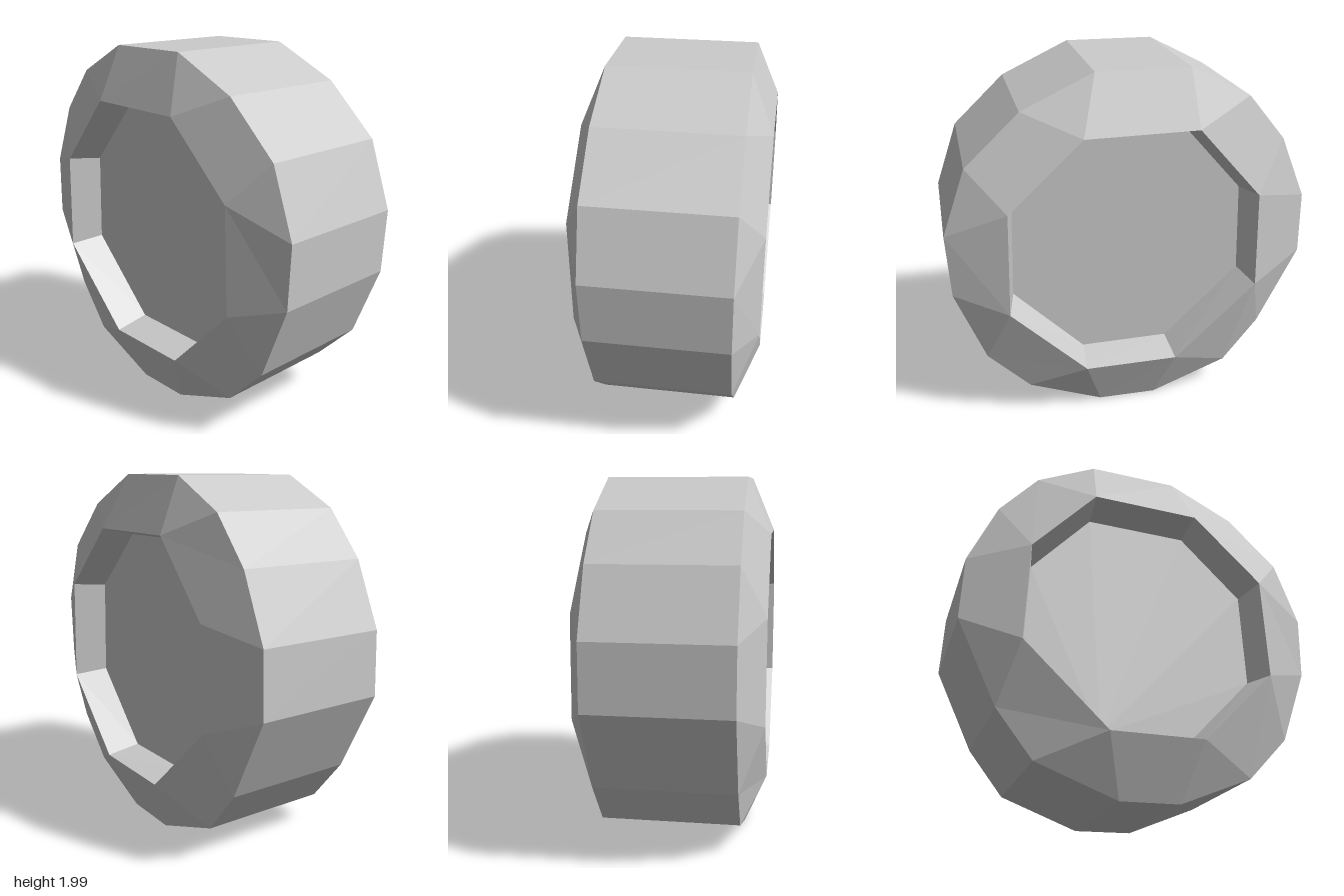
import * as THREE from 'three';

// Cross-sections as [x, y], counter-clockwise from the bottom, seen from +z
const TREAD = [
  [-0.14, 0], [0.19, 0.01], [0.6, 0.18], [0.83, 0.42], [0.985, 0.83], [1, 1.18], [0.87, 1.54], [0.58, 1.81],
  [0.2, 1.985], [-0.3, 1.98], [-0.63, 1.81], [-0.84, 1.56], [-0.99, 1.21], [-1, 0.86], [-0.78, 0.41], [-0.58, 0.16],
];
const RIM = [
  [-0.23, 0.315], [0.29, 0.325], [0.7, 0.74], [0.68, 1.32],
  [0.285, 1.685], [-0.32, 1.685], [-0.67, 1.29], [-0.69, 0.74],
];
const HUB = [
  [-0.22, 0.355], [0.275, 0.36], [0.66, 0.76], [0.64, 1.305],
  [0.28, 1.645], [-0.3, 1.645], [-0.63, 1.27], [-0.65, 0.76],
];
const TREAD_Z = 0.375, RIM_Z = 0.5, HUB_Z = 0.31;

const at = (ring, i, z) => [...ring[i % ring.length], z];

// Collects convex polygons as triangle fans; flip reverses the winding
function addFace(out, corners, flip = false) {
  const c = flip ? [...corners].reverse() : corners;
  for (let i = 1; i < c.length - 1; i++) out.push(...c[0], ...c[i], ...c[i + 1]);
}

function makeMesh(name, positions) {
  const geometry = new THREE.BufferGeometry();
  geometry.setAttribute('position', new THREE.Float32BufferAttribute(positions, 3));
  geometry.computeVertexNormals();
  const mesh = new THREE.Mesh(geometry, new THREE.MeshStandardMaterial({ color: 0xcccccc, flatShading: true }));
  mesh.name = name;
  return mesh;
}

export function createModel() {
  const wheel = new THREE.Group();
  wheel.name = 'wheel';

  // Tread band around the wheel
  const tread = [];
  for (let i = 0; i < TREAD.length; i++) {
    addFace(tread, [
      at(TREAD, i, TREAD_Z), at(TREAD, i, -TREAD_Z),
      at(TREAD, i + 1, -TREAD_Z), at(TREAD, i + 1, TREAD_Z),
    ]);
  }
  wheel.add(makeMesh('tread', tread));

  for (const side of [1, -1]) {
    const flip = side < 0;
    const prefix = flip ? 'back' : 'front';
    const tz = side * TREAD_Z, rz = side * RIM_Z, hz = side * HUB_Z;
    const sidewall = [], lip = [];

    for (let k = 0; k < RIM.length; k++) {
      // Sloped sidewall: one quad per rim edge, one triangle per rim corner
      addFace(sidewall, [at(TREAD, 2 * k, tz), at(TREAD, 2 * k + 1, tz), at(RIM, k + 1, rz), at(RIM, k, rz)], flip);
      addFace(sidewall, [at(TREAD, 2 * k + 1, tz), at(TREAD, 2 * k + 2, tz), at(RIM, k + 1, rz)], flip);
      // Recess wall from the rim down to the hub
      addFace(lip, [at(RIM, k, rz), at(RIM, k + 1, rz), at(HUB, k + 1, hz), at(HUB, k, hz)], flip);
    }

    // Flat hub at the bottom of the recess
    const hub = [];
    addFace(hub, HUB.map((p) => [...p, hz]), flip);

    wheel.add(
      makeMesh(prefix + 'Sidewall', sidewall),
      makeMesh(prefix + 'RimLip', lip),
      makeMesh(prefix + 'Hub', hub),
    );
  }
  return wheel;
}
